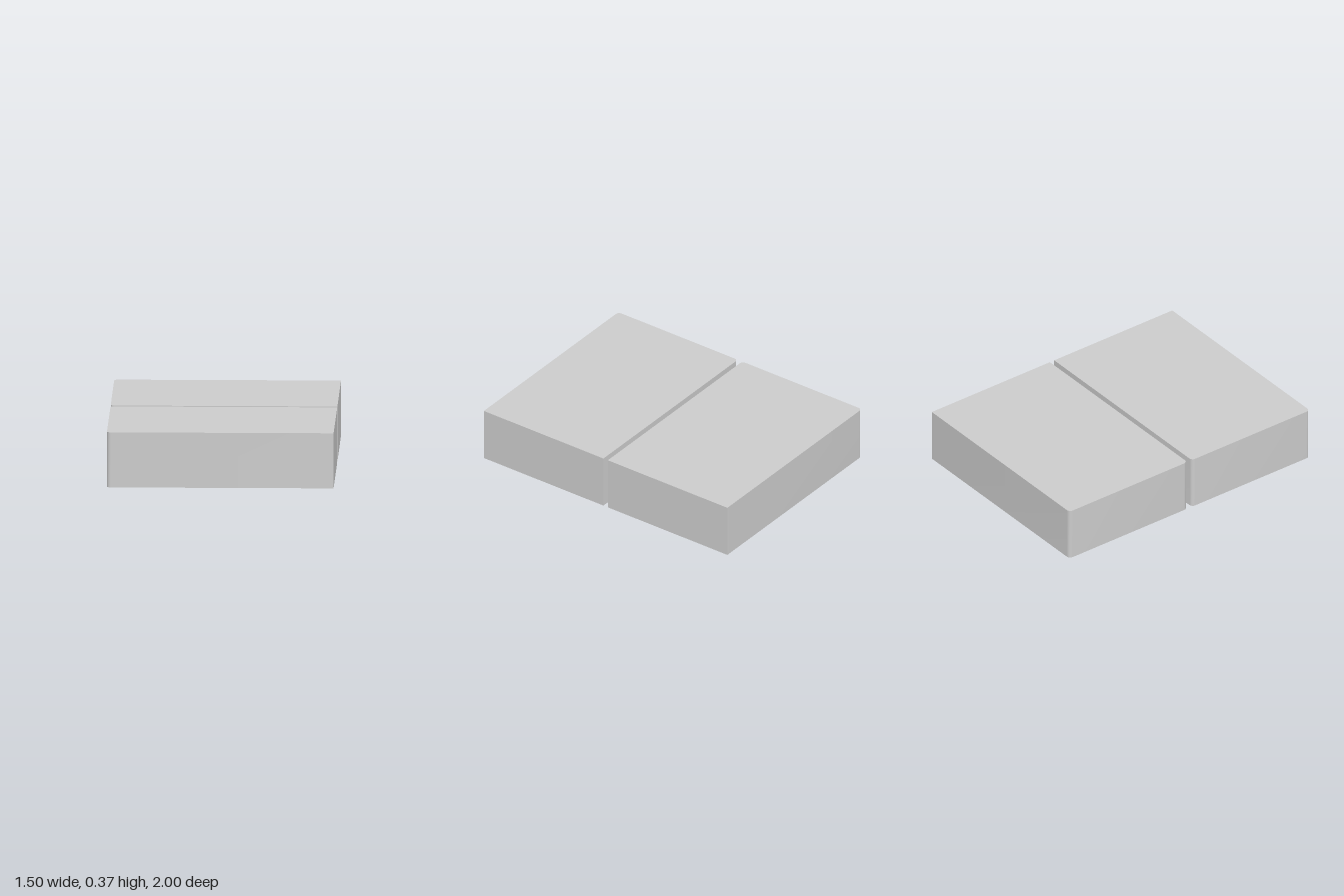
import * as THREE from 'three';
import { mergeGeometries, toCreasedNormals } from 'three/addons/utils/BufferGeometryUtils.js';

const HEIGHT = 0.37, POCKET = 0.06, GROOVE = 0.025;
const material = new THREE.MeshStandardMaterial({ color: 0xcccccc });
const V = (x, z) => new THREE.Vector2(x, z);

// Counter-clockwise plan outline from corners [x, z, radius]
function outline(corners) {
  const pts = [];
  corners.forEach(([x, z, r = 0], i) => {
    const p = V(x, z);
    if (!r) return pts.push(p);
    const before = corners[(i + corners.length - 1) % corners.length];
    const after = corners[(i + 1) % corners.length];
    const a = V(before[0], before[1]).sub(p).setLength(r).add(p);
    const b = V(after[0], after[1]).sub(p).setLength(r).add(p);
    const centre = a.clone().add(b).sub(p);
    for (let k = 0; k <= 6; k++) {
      const t = (k / 6) * Math.PI / 2;
      pts.push(centre.clone()
        .addScaledVector(b.clone().sub(p), -Math.sin(t) * -1 - 1 + 1 - Math.sin(t) - Math.cos(t))
        .addScaledVector(a.clone().sub(p), -Math.sin(t)));
    }
  });
  return pts;
}

// Flat horizontal face at height y, facing down unless up is set
function cap(pts, y, holes = [], up = false) {
  const shape = new THREE.Shape(pts);
  shape.holes = holes.map((h) => new THREE.Path(h));
  const geo = new THREE.ShapeGeometry(shape).rotateX(Math.PI / 2).translate(0, y, 0).toNonIndexed();
  if (up) {
    const p = geo.attributes.position;
    for (let i = 0; i < p.count; i += 3) {
      const a = new THREE.Vector3().fromBufferAttribute(p, i);
      const b = new THREE.Vector3().fromBufferAttribute(p, i + 1);
      p.setXYZ(i, b.x, b.y, b.z);
      p.setXYZ(i + 1, a.x, a.y, a.z);
    }
  }
  geo.deleteAttribute('uv');
  geo.deleteAttribute('normal');
  return geo;
}

// Vertical wall along an outline; inward walls line a recess
function wall(pts, y0, y1, inward = false) {
  const pos = [];
  pts.forEach((p, i) => {
    let a = p, b = pts[(i + 1) % pts.length];
    if (inward) [a, b] = [b, a];
    pos.push(a.x, y0, a.y, a.x, y1, a.y, b.x, y0, b.y);
    pos.push(b.x, y0, b.y, a.x, y1, a.y, b.x, y1, b.y);
  });
  return new THREE.BufferGeometry().setAttribute('position', new THREE.Float32BufferAttribute(pos, 3));
}

function arc(cz, r, from, to, n) {
  return Array.from({ length: n + 1 }, (_, i) => {
    const t = from + (to - from) * i / n;
    return V(Math.cos(t) * r, cz + Math.sin(t) * r);
  });
}

function part(name, geos) {
  const geo = toCreasedNormals(mergeGeometries(geos), 0.6);
  const mesh = new THREE.Mesh(geo, material);
  mesh.name = name;
  return mesh;
}

// Half-round recess with a wide straight foot, and a keyhole groove in its floor
function pocketOutlines({ x, z, r, w, d, hole, end, turn }) {
  const place = (p) => V(x + p.x * turn, z + p.y * turn);
  const foot = outline([[w, 0, 0.025], [w, d, 0.03], [-w, d, 0.03], [-w, 0, 0.025]]);
  const rim = [...arc(0, r, Math.PI, 2 * Math.PI, 40), ...foot].map(place);
  const half = 0.007, a = Math.asin(half / 0.018);
  const groove = [
    ...arc(hole, 0.018, Math.PI / 2 + a, Math.PI * 2.5 - a, 16), V(half, end), V(-half, end),
  ].map(place);
  return { rim, groove };
}

function block(name, z0, z1, specs) {
  const group = new THREE.Group();
  group.name = name;
  const plan = outline([[-0.75, z0, 0.027], [0.75, z0], [0.75, z1], [-0.75, z1, 0.027]]);
  const pockets = specs.map(pocketOutlines);
  group.add(part('blockBody', [
    cap(plan, HEIGHT, [], true),
    wall(plan, 0, HEIGHT),
    cap(plan, 0, pockets.map((p) => p.rim)),
  ]));
  for (const { rim, groove } of pockets) {
    group.add(part('pocket', [wall(rim, 0, POCKET, true), cap(rim, POCKET, [groove])]));
    group.add(part('keyholeGroove', [
      wall(groove, POCKET, POCKET + GROOVE, true), cap(groove, POCKET + GROOVE),
    ]));
  }
  return group;
}

export function createModel() {
  const model = new THREE.Group();
  model.name = 'pairOfBlocks';
  // Front block with one large pocket
  model.add(block('frontBlock', 0.018, 1, [
    { x: 0, z: 0.495, r: 0.32, w: 0.413, d: 0.375, hole: -0.15, end: 0.11, turn: 1 },
  ]));
  // Back block with two small pockets, turned the other way
  model.add(block('backBlock', -1, -0.018, [-0.367, 0.367].map((x) => (
    { x, z: -0.51, r: 0.215, w: 0.262, d: 0.282, hole: 0.01, end: 0.2, turn: -1 }
  ))));
  return model;
}
